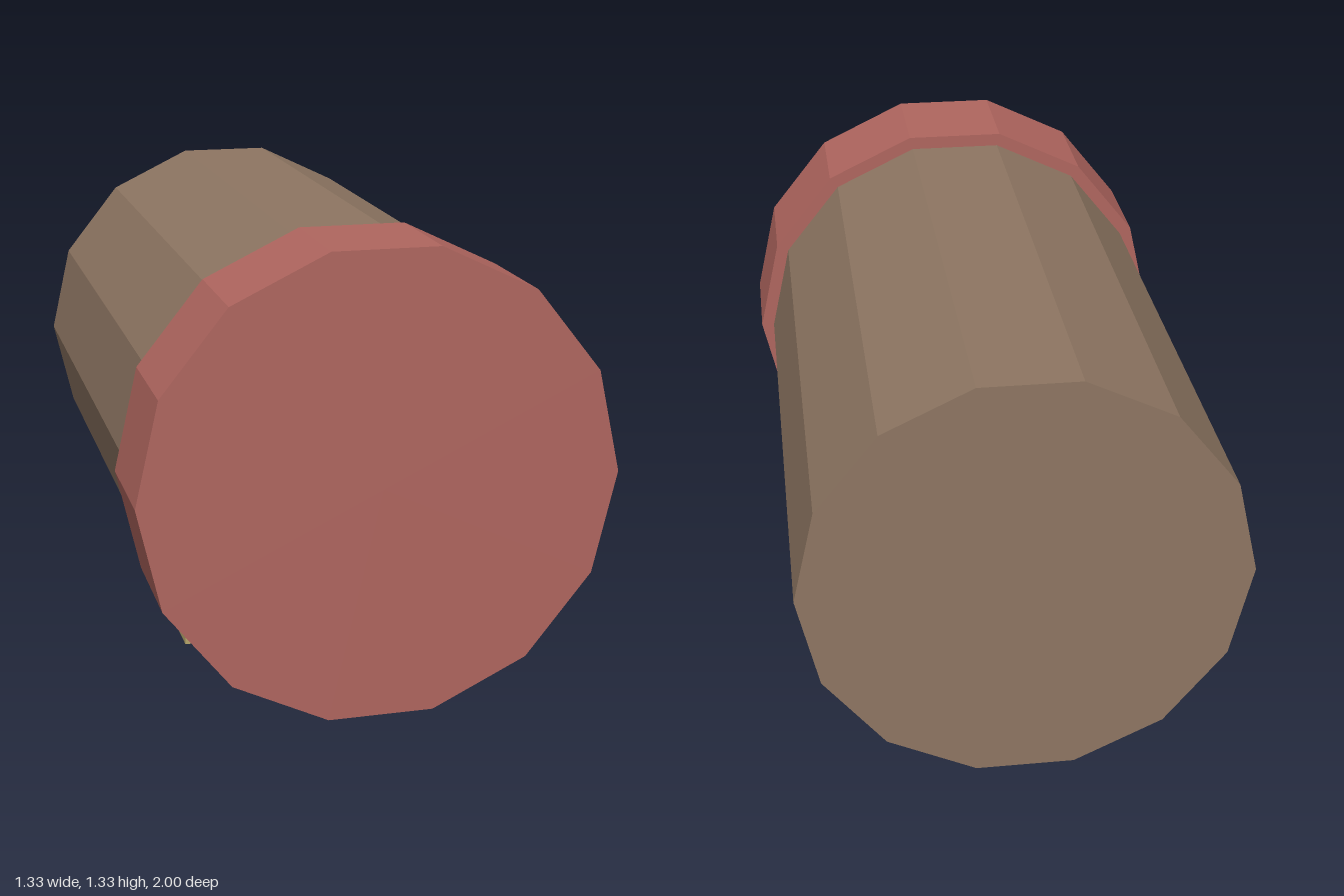
import * as THREE from 'three';

const SIDES = 14;
const AXIS_Y = 0.68;

function material(name, color) {
  const m = new THREE.MeshStandardMaterial({ color, flatShading: true });
  m.name = name;
  return m;
}

// Faceted drum lying along z, with a corner pointing to each side
function drum(name, radius, zBack, zFront, mat) {
  const length = zFront - zBack;
  const geo = new THREE.CylinderGeometry(radius, radius, length, SIDES, 1, false, Math.PI / 2);
  geo.rotateX(Math.PI / 2);
  const mesh = new THREE.Mesh(geo, mat);
  mesh.name = name;
  mesh.position.set(0, AXIS_Y, (zBack + zFront) / 2);
  return mesh;
}

export function createModel() {
  const model = new THREE.Group();
  model.name = 'cappedBarrel';

  const brown = material('brown', 0x8e7662);
  const red = material('dull red', 0xb0665f);
  const tan = material('tan', 0xb8a86c);

  // Long body and wider front cap
  model.add(drum('body', 0.625, -1, 0.667, brown));
  model.add(drum('frontCap', 0.665, 0.667, 1, red));

  // Flat foot under the body
  const foot = new THREE.Mesh(new THREE.BoxGeometry(0.832, 0.069, 0.833), tan);
  foot.name = 'basePlate';
  foot.position.set(0, 0.0345, -0.083);
  model.add(foot);

  return model;
}
